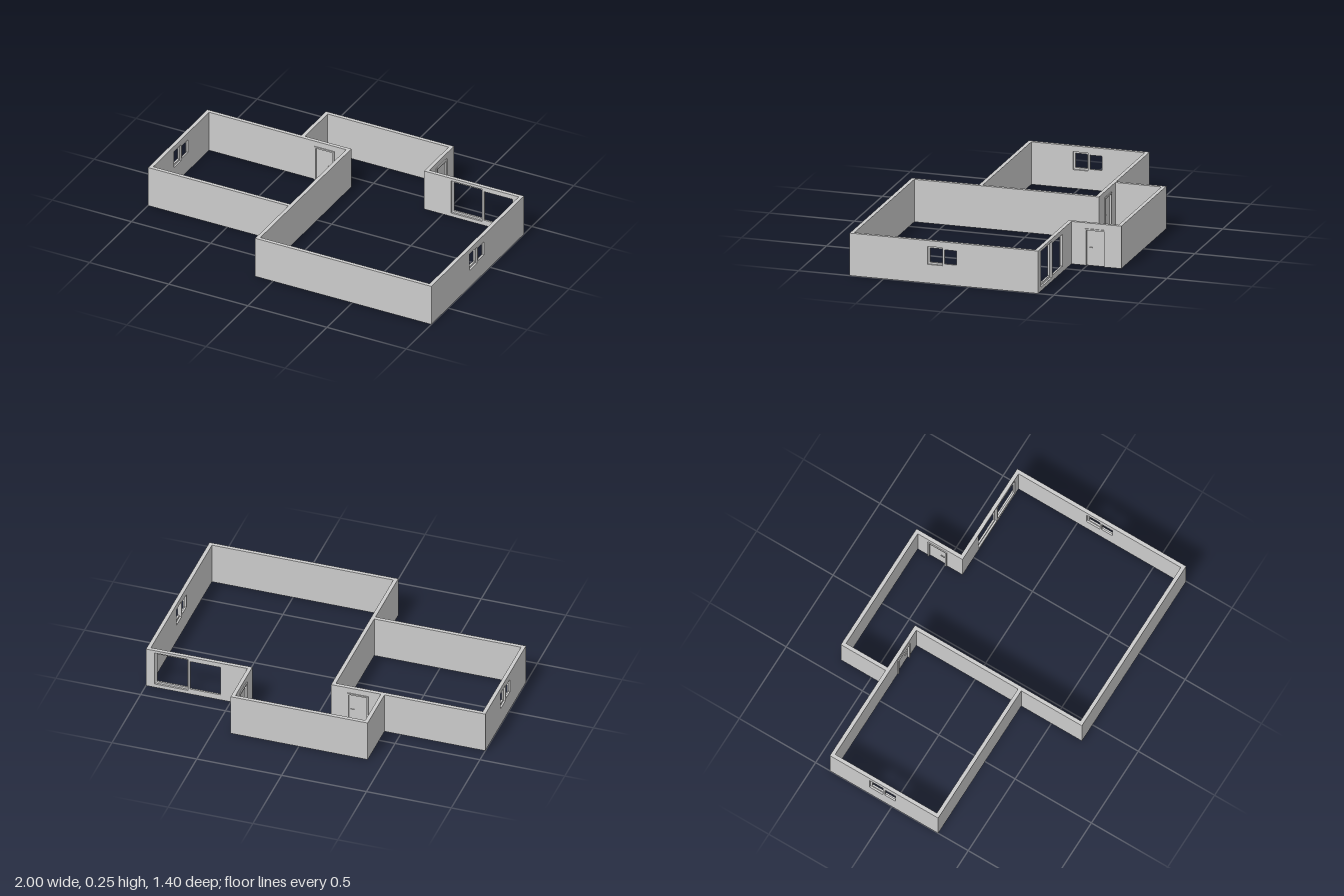
import * as THREE from 'three';

const H = 0.248;  // wall height
const T = 0.022;  // wall thickness
const mat = new THREE.MeshStandardMaterial({ color: 0xcccccc, flatShading: true });

function rectPath(path, s0, s1, y0, y1) {
  path.moveTo(s0, y0);
  path.lineTo(s1, y0);
  path.lineTo(s1, y1);
  path.lineTo(s0, y1);
  path.closePath();
  return path;
}

// Slab from a shape in the (s, y) plane, from z0 to z1
function slab(name, shape, z0, z1) {
  const geo = new THREE.ExtrudeGeometry(shape, { depth: z1 - z0, bevelEnabled: false });
  geo.translate(0, 0, z0);
  const mesh = new THREE.Mesh(geo, mat);
  mesh.name = name;
  return mesh;
}

// Rectangular frame with an open pane
function frame(name, s0, s1, y0, y1, bar, z0, z1) {
  const shape = rectPath(new THREE.Shape(), s0, s1, y0, y1);
  shape.holes.push(rectPath(new THREE.Path(), s0 + bar, s1 - bar, y0 + bar, y1 - bar));
  return slab(name, shape, z0, z1);
}

// Two sliding sashes on neighbouring tracks
function slidingWindow(name, { s0, s1, y0, y1, bar }) {
  const g = new THREE.Group();
  g.name = name;
  const mid = (s0 + s1) / 2, lap = bar / 4;
  g.add(frame('outerSash', s0, mid + lap, y0, y1, bar, -T / 2, 0));
  g.add(frame('innerSash', mid - lap, s1, y0, y1, bar, 0, T / 2));
  return g;
}

// Door: casing proud of the wall, panelled leaf, lever on both sides
function door({ s0, s1, y1 }) {
  const g = new THREE.Group();
  g.name = 'door';
  const bar = 0.009, out = T / 2 + 0.006;
  const casing = new THREE.Shape();
  [[s0, 0], [s0 + bar, 0], [s0 + bar, y1 - bar], [s1 - bar, y1 - bar], [s1 - bar, 0], [s1, 0], [s1, y1], [s0, y1]]
    .forEach(([s, y], i) => (i ? casing.lineTo(s, y) : casing.moveTo(s, y)));
  casing.closePath();
  g.add(slab('doorCasing', casing, -out, out));
  g.add(slab('doorLeaf', rectPath(new THREE.Shape(), s0 + bar, s1 - bar, 0, y1 - bar), -0.005, 0.005));
  for (const side of [-1, 1]) {
    const lever = new THREE.Mesh(new THREE.BoxGeometry(0.024, 0.005, 0.005), mat);
    lever.name = 'doorHandle';
    lever.position.set(s1 - bar - 0.02, 0.105, side * 0.008);
    g.add(lever);
  }
  return g;
}

// Wall running along x or z between a and b, centred on "at"
function wall(name, axis, a, b, at, { window: win, door: dr } = {}) {
  const g = new THREE.Group();
  g.name = name;
  const shape = new THREE.Shape();
  shape.moveTo(a, 0);
  if (dr) {
    shape.lineTo(dr.s0, 0);
    shape.lineTo(dr.s0, dr.y1);
    shape.lineTo(dr.s1, dr.y1);
    shape.lineTo(dr.s1, 0);
  }
  shape.lineTo(b, 0);
  shape.lineTo(b, H);
  shape.lineTo(a, H);
  shape.closePath();
  if (win) shape.holes.push(rectPath(new THREE.Path(), win.s0, win.s1, win.y0, win.y1));
  g.add(slab('wallPanel', shape, -T / 2, T / 2));
  if (win) g.add(slidingWindow('slidingWindow', win));
  if (dr) g.add(door(dr));
  if (axis === 'z') {
    g.rotation.y = -Math.PI / 2;
    g.position.x = at;
  } else {
    g.position.z = at;
  }
  return g;
}

export function createModel() {
  const model = new THREE.Group();
  model.name = 'floorPlanWalls';
  const h = T / 2;
  const edge = 1 - h, front = 0.7 - h, back = -0.7 + h;
  const midZ = -0.396, divX = -0.102, sideFront = 0.292, annexL = -0.395, annexR = 0.391;
  const small = (s0) => ({ s0, s1: s0 + 0.182, y0: 0.109, y1: 0.214, bar: 0.011 });

  // Main room
  model.add(wall('mainFrontWall', 'x', divX + h, edge - h, front));
  model.add(wall('mainRightWall', 'z', midZ - h, 0.7, edge, { window: small(0.06) }));
  model.add(wall('dividingWall', 'z', midZ - h, 0.7, divX));
  model.add(wall('mainBackWall', 'x', annexR + h, edge - h, midZ,
    { window: { s0: 0.55, s1: 0.95, y0: 0.022, y1: 0.232, bar: 0.012 } }));

  // Side room
  model.add(wall('sideOuterWall', 'z', midZ - h, sideFront + h, -edge, { window: small(-0.146) }));
  model.add(wall('sideFrontWall', 'x', -edge + h, divX - h, sideFront));
  model.add(wall('sideBackWall', 'x', -edge + h, divX - h, midZ,
    { door: { s0: -0.311, s1: -0.187, y1: 0.215 } }));

  // Back annex
  model.add(wall('annexBackWall', 'x', annexL + h, annexR - h, back));
  model.add(wall('annexLeftWall', 'z', -0.7, midZ - h, annexL));
  model.add(wall('annexRightWall', 'z', -0.7, midZ + h, annexR,
    { door: { s0: -0.611, s1: -0.487, y1: 0.215 } }));
  return model;
}
